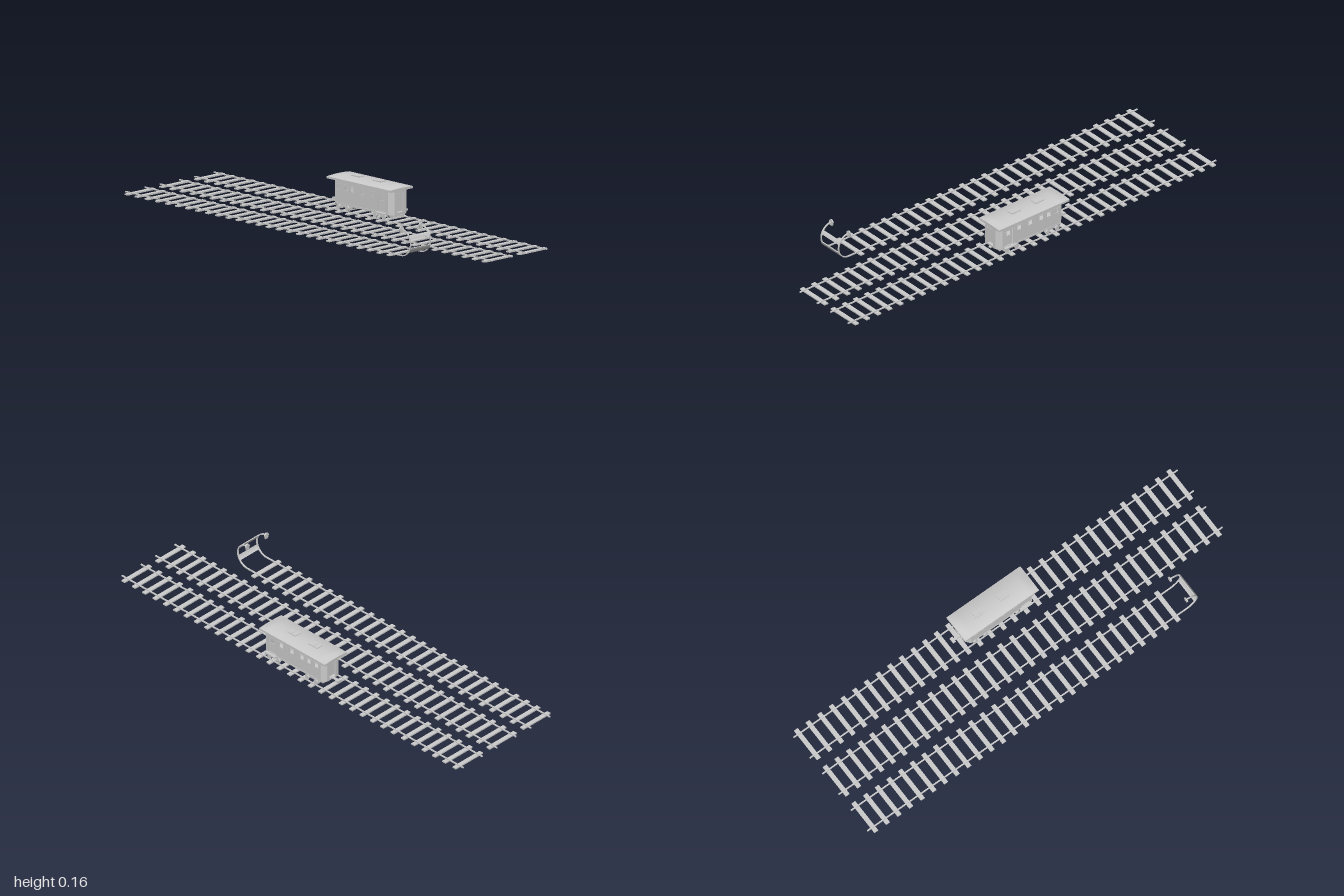
import * as THREE from 'three';

const mat = new THREE.MeshStandardMaterial({ color: 0xcccccc, side: THREE.DoubleSide });

function add(parent, name, geo, x = 0, y = 0, z = 0) {
  const m = new THREE.Mesh(geo, mat);
  m.name = name;
  m.position.set(x, y, z);
  parent.add(m);
  return m;
}
const box = (parent, name, w, h, d, x, y, z) => add(parent, name, new THREE.BoxGeometry(w, h, d), x, y, z);

function rectPath(x0, x1, y0, y1, P = THREE.Path) {
  const p = new P();
  p.moveTo(x0, y0); p.lineTo(x1, y0); p.lineTo(x1, y1); p.lineTo(x0, y1); p.closePath();
  return p;
}
const extrude = (shape, depth, curveSegments = 20) =>
  new THREE.ExtrudeGeometry(shape, { depth, bevelEnabled: false, curveSegments }).translate(0, 0, -depth / 2);

// Band between two radii in the xy plane
function arcBand(cx, cy, r0, r1, a0, a1) {
  const s = new THREE.Shape();
  s.absarc(cx, cy, r1, a0, a1, false);
  s.absarc(cx, cy, r0, a1, a0, true);
  s.closePath();
  return s;
}

// Wall panel standing between two plan points, with rectangular openings
function wall(parent, name, a, b, y0, y1, holes = []) {
  const len = Math.hypot(b[0] - a[0], b[1] - a[1]);
  const s = rectPath(0, len, y0, y1, THREE.Shape);
  holes.forEach(h => s.holes.push(rectPath(...h)));
  const m = add(parent, name, extrude(s, 0.003), a[0], 0, a[1]);
  m.rotation.y = -Math.atan2(b[1] - a[1], b[0] - a[0]);
  return m;
}

function sleepers(track, count) {
  for (let i = 0; i < count; i++) box(track, 'sleeper', 0.02, 0.006, 0.162, -0.97 + i * 0.0606, 0.003, 0);
}

function straightTrack() {
  const g = new THREE.Group();
  g.name = 'straightTrack';
  sleepers(g, 33);
  for (const s of [-1, 1]) box(g, 'rail', 2, 0.005, 0.006, 0, 0.0075, s * 0.057);
  return g;
}

// Siding whose rails curl up into a buffer stop
function sidingTrack() {
  const g = new THREE.Group();
  g.name = 'sidingTrack';
  sleepers(g, 27);
  const cx = 0.66, cy = 0.064, deg = Math.PI / 180;
  const rail = new THREE.Shape();
  rail.moveTo(-1, 0.005);
  rail.lineTo(cx, 0.005);
  rail.absarc(cx, cy, 0.059, -Math.PI / 2, Math.PI / 2, false);
  rail.absarc(cx, cy, 0.054, Math.PI / 2, -Math.PI / 2, true);
  rail.lineTo(-1, 0.01);
  rail.closePath();
  const pad = new THREE.Shape();
  pad.moveTo(-0.007, -0.014);
  pad.lineTo(0.007, -0.014);
  pad.lineTo(0.012, 0.002);
  pad.absarc(0, 0.002, 0.012, 0, Math.PI, false);
  pad.closePath();
  for (const s of [-1, 1]) {
    add(g, 'curledRail', extrude(rail, 0.006), 0, 0, s * 0.057);
    add(g, 'bufferPad', extrude(pad, 0.006), 0.661, 0.118, s * 0.057).rotation.y = Math.PI / 2;
  }
  for (const [a0, a1] of [[19, 38], [-40, -17]])
    add(g, 'crossBeam', extrude(arcBand(cx, cy, 0.056, 0.06, a0 * deg, a1 * deg), 0.118, 6));
  return g;
}

function bogie(x) {
  const g = new THREE.Group();
  g.name = 'bogie';
  g.position.x = x;
  const s = new THREE.Shape();
  s.moveTo(-0.046, 0.033); s.lineTo(-0.034, 0.016); s.lineTo(0.034, 0.016); s.lineTo(0.046, 0.033);
  s.closePath();
  add(g, 'bogieFrame', extrude(s, 0.07));
  for (const dx of [-0.026, 0.026]) {
    const axle = add(g, 'axle', new THREE.CylinderGeometry(0.003, 0.003, 0.12, 8), dx, 0.021, 0);
    axle.rotation.x = Math.PI / 2;
    for (const s2 of [-1, 1]) {
      const wheel = add(g, 'wheel', new THREE.CylinderGeometry(0.011, 0.011, 0.006, 16), dx, 0.021, s2 * 0.056);
      wheel.rotation.x = Math.PI / 2;
    }
  }
  for (const s2 of [-1, 1]) box(g, 'sideBeam', 0.078, 0.006, 0.004, 0, 0.026, s2 * 0.05);
  return g;
}

function carriage() {
  const g = new THREE.Group();
  g.name = 'carriage';
  const y0 = 0.034, y1 = 0.138, H = 0.053, E = 0.03, xs = 0.158, xe = 0.178;

  // Floor follows the chamfered plan
  const floor = new THREE.Shape([[-xs, -H], [xs, -H], [xe, -E], [xe, E], [xs, H], [-xs, H], [-xe, E], [-xe, -E]]
    .map(p => new THREE.Vector2(...p)));
  const f = add(g, 'floor', extrude(floor, 0.008), 0, 0.034, 0);
  f.rotation.x = -Math.PI / 2;

  // Sides with window openings and one door each
  const windows = [-0.137, -0.093, -0.053, 0.007, 0.067];
  const door = [0.1, 0.147, 0.042, 0.116];
  const shift = ([a, b, c, d]) => [a + xs, b + xs, c, d];
  for (const s of [-1, 1]) {
    const holes = windows.map(w => shift([w - 0.012, w + 0.012, 0.095, 0.117]));
    wall(g, 'sideWall', [-xs, s * H], [xs, s * H], y0, y1, [...holes, shift(door)]);
    for (const w of windows) {
      const frame = rectPath(w - 0.015, w + 0.015, 0.092, 0.12, THREE.Shape);
      frame.holes.push(rectPath(w - 0.011, w + 0.011, 0.096, 0.116));
      add(g, 'windowFrame', extrude(frame, 0.003), 0, 0, s * (H + 0.0015));
    }
    const leaf = rectPath(...door, THREE.Shape);
    leaf.holes.push(rectPath(0.112, 0.135, 0.088, 0.109));
    add(g, 'sideDoor', extrude(leaf, 0.002), 0, 0, s * (H - 0.003));
    for (const x of [0.097, 0.15]) box(g, 'handrail', 0.003, 0.055, 0.003, x, 0.086, s * (H + 0.004));
    box(g, 'doorStep', 0.06, 0.006, 0.016, 0.124, 0.036, s * (H + 0.008));
    box(g, 'lowerSill', 2 * xs, 0.005, 0.003, 0, 0.037, s * (H + 0.002));
  }

  // Chamfered ends with a recessed doorway and sloping apron
  for (const s of [-1, 1]) {
    wall(g, 'endWall', [s * xe, -E], [s * xe, E], y0, y1, [[E - 0.02, E + 0.02, 0.04, 0.116]]);
    for (const t of [-1, 1]) {
      wall(g, 'cornerWall', [s * xs, t * H], [s * xe, t * E], y0, y1);
      box(g, 'cornerPost', 0.005, y1 - y0, 0.005, s * xe, (y0 + y1) / 2, t * E);
      box(g, 'doorPost', 0.012, 0.078, 0.003, s * (xe - 0.004), 0.078, t * 0.021);
    }
    box(g, 'endDoor', 0.003, 0.074, 0.038, s * (xe - 0.012), 0.078, 0);
    box(g, 'endDoorPanel', 0.003, 0.06, 0.018, s * (xe - 0.01), 0.076, 0);
    box(g, 'doorLintel', 0.012, 0.004, 0.046, s * (xe - 0.003), 0.118, 0);
    const apron = new THREE.Shape([[-H, 0.034], [-0.042, 0.018], [0.042, 0.018], [H, 0.034]]
      .map(p => new THREE.Vector2(...p)));
    add(g, 'endApron', extrude(apron, 0.012), s * 0.156, 0, 0).rotation.y = Math.PI / 2;
  }
  box(g, 'couplingBar', 0.05, 0.005, 0.012, -0.194, 0.038, 0);
  box(g, 'couplingHead', 0.014, 0.007, 0.026, -0.213, 0.038, 0);
  box(g, 'couplingBar', 0.02, 0.005, 0.012, 0.175, 0.028, 0);

  // Roof: thin eave and a dome that tapers at all edges
  const cx = -0.005, L = 0.192, W = 0.066;
  box(g, 'eave', 2 * L, 0.008, 2 * W, cx, 0.138, 0);
  const dome = new THREE.BoxGeometry(2 * L, 0.002, 2 * W, 24, 1, 14);
  const p = dome.attributes.position;
  for (let i = 0; i < p.count; i++) {
    const u = p.getZ(i) / W, v = Math.min(1, (L - Math.abs(p.getX(i))) / 0.03);
    p.setY(i, p.getY(i) > 0 ? 0.143 + 0.01 * (1 - u * u) * (0.3 + 0.7 * v) : 0.141);
  }
  dome.computeVertexNormals();
  add(g, 'roofDome', dome, cx, 0, 0);
  for (const x of [-0.078, 0.05]) {
    box(g, 'roofVent', 0.05, 0.008, 0.03, x, 0.152, 0);
    box(g, 'ventCap', 0.022, 0.002, 0.032, x + 0.01, 0.156, 0);
  }

  // Running gear
  box(g, 'centreBeam', 0.3, 0.006, 0.03, 0, 0.028, 0);
  g.add(bogie(-0.11), bogie(0.11));
  return g;
}

export function createModel() {
  const model = new THREE.Group();
  model.name = 'railwayScene';
  const back = straightTrack(), middle = straightTrack(), front = sidingTrack(), car = carriage();
  back.position.z = car.position.z = -0.202;
  front.position.z = 0.202;
  model.add(back, middle, front, car);
  return model;
}
